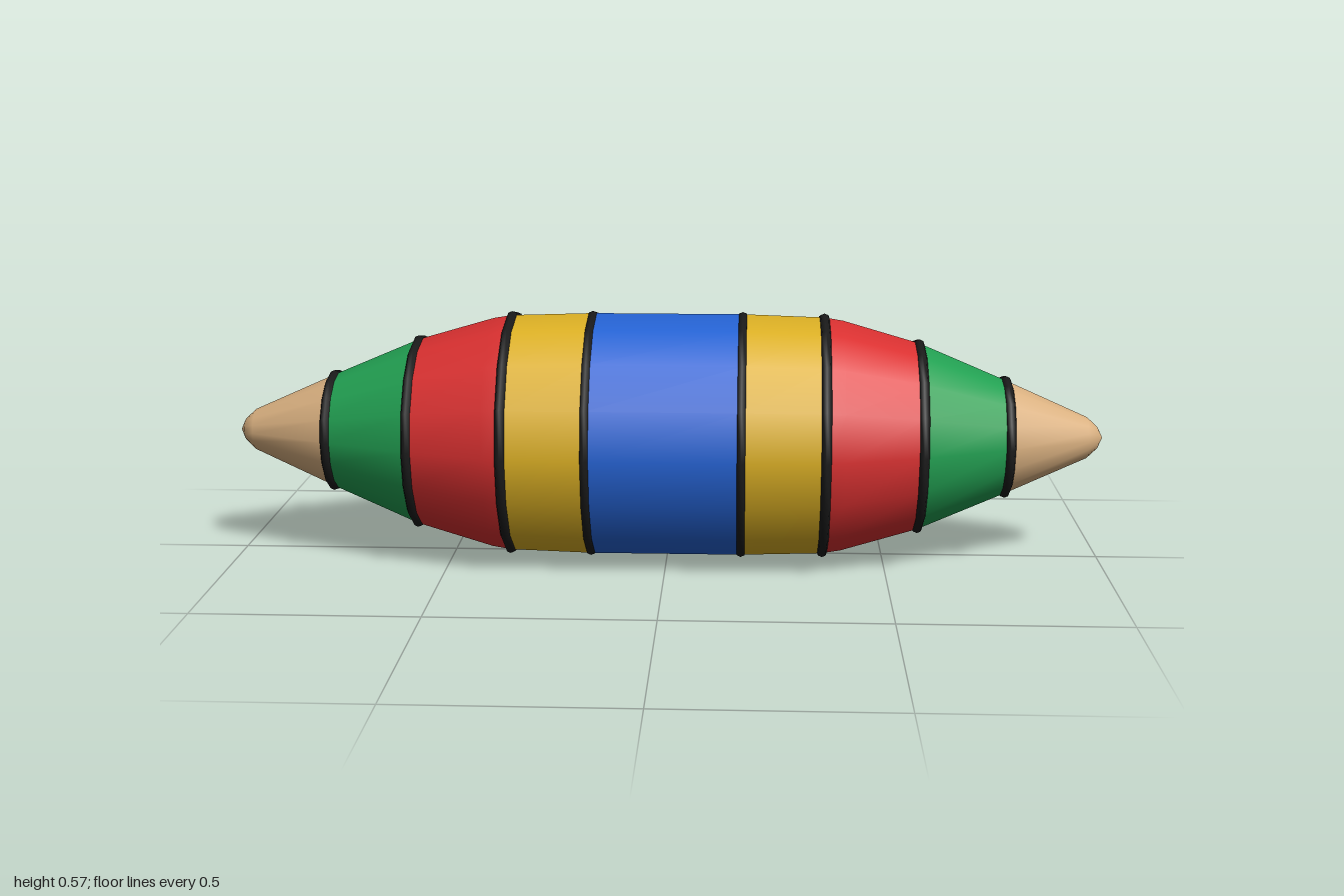
import * as THREE from 'three';

const SIDES = 16;
const CENTER_Y = 0.285;

function material(name, color) {
  const m = new THREE.MeshStandardMaterial({ color });
  m.name = name;
  return m;
}

export function createModel() {
  const group = new THREE.Group();
  group.name = 'bandedSpindle';

  const blue = material('blue', 0x2563d4);
  const gold = material('gold', 0xdcb024);
  const red = material('red', 0xd93030);
  const green = material('green', 0x22a052);
  const wood = material('wood', 0xd9b080);
  const black = material('black', 0x1a1a1a);

  const add = (geometry, mat, name) => {
    const mesh = new THREE.Mesh(geometry, mat);
    mesh.name = name;
    mesh.position.y = CENTER_Y;
    group.add(mesh);
    return mesh;
  };

  // Turned section; profile points are [x along the axis, radius]
  const addBand = (profile, mat, name) => {
    const points = profile.map(([x, r]) => new THREE.Vector2(r, x));
    add(new THREE.LatheGeometry(points, SIDES).rotateZ(-Math.PI / 2), mat, name);
  };

  // Coloured bands, from the middle outwards
  addBand([[-0.172, 0.281], [0.172, 0.281]], blue, 'middleBand');
  const bands = [
    ['goldBand', gold, [[0.172, 0.281], [0.358, 0.275]]],
    ['redBand', red, [[0.358, 0.275], [0.4, 0.268], [0.575, 0.217]]],
    ['greenBand', green, [[0.575, 0.217], [0.775, 0.132]]],
    ['tip', wood, [[0.775, 0.132], [0.963, 0.048], [0.988, 0.025], [1, 0]]],
  ];
  // Thin raised rings at the seams: [x, ring radius]
  const rings = [[0.172, 0.274], [0.358, 0.272], [0.575, 0.214], [0.775, 0.13]];

  for (const [side, s] of [['left', 1], ['right', -1]]) {
    for (const [name, mat, profile] of bands) {
      const points = profile.map(([x, r]) => [x * s, r]);
      if (s < 0) points.reverse();
      addBand(points, mat, `${side} ${name}`);
    }
    rings.forEach(([x, r], i) => {
      const geometry = new THREE.TorusGeometry(r, 0.012, 8, SIDES).rotateY(Math.PI / 2);
      add(geometry, black, `${side} seamRing ${i + 1}`).position.x = x * s;
    });
  }
  return group;
}
